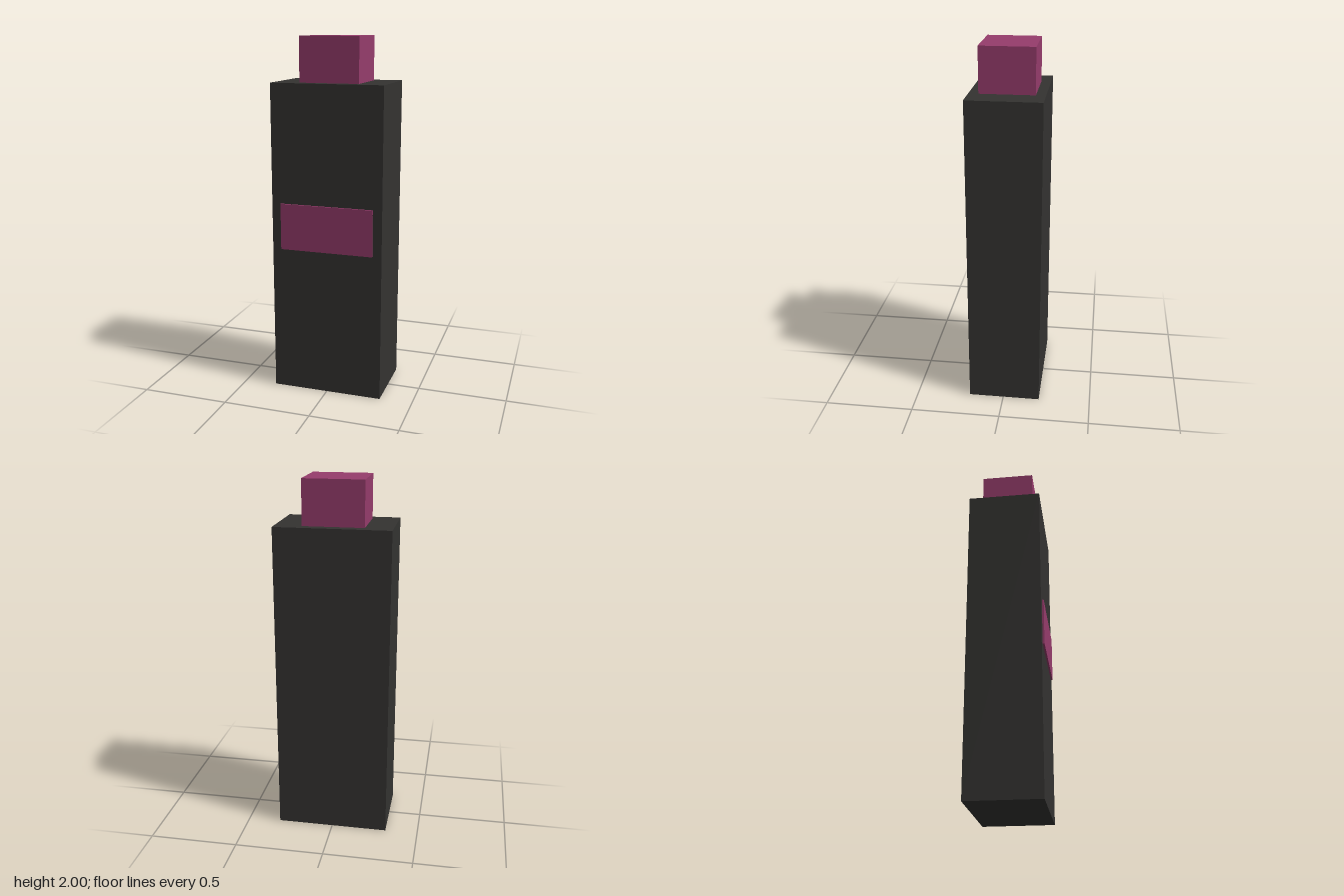
import * as THREE from 'three';

const dark = new THREE.MeshStandardMaterial({ color: 0x343331 });
const plum = new THREE.MeshStandardMaterial({ color: 0x963c6c });

// Box standing on height y, centred on x = 0
function block(name, material, width, height, depth, y, z) {
  const mesh = new THREE.Mesh(new THREE.BoxGeometry(width, height, depth), material);
  mesh.name = name;
  mesh.position.set(0, y + height / 2, z);
  return mesh;
}

export function createModel() {
  const model = new THREE.Group();
  model.name = 'bottle';
  const bodyHeight = 1.755;

  model.add(
    // Tall rectangular body
    block('body', dark, 0.63, bodyHeight, 0.403, 0, -0.0055),
    // Cap on top
    block('cap', plum, 0.333, 2 - bodyHeight, 0.297, bodyHeight, -0.0055),
    // Thin plate standing slightly proud of the front face
    block('label', plum, 0.526, 0.26, 0.018, 0.835, 0.197),
  );
  return model;
}
